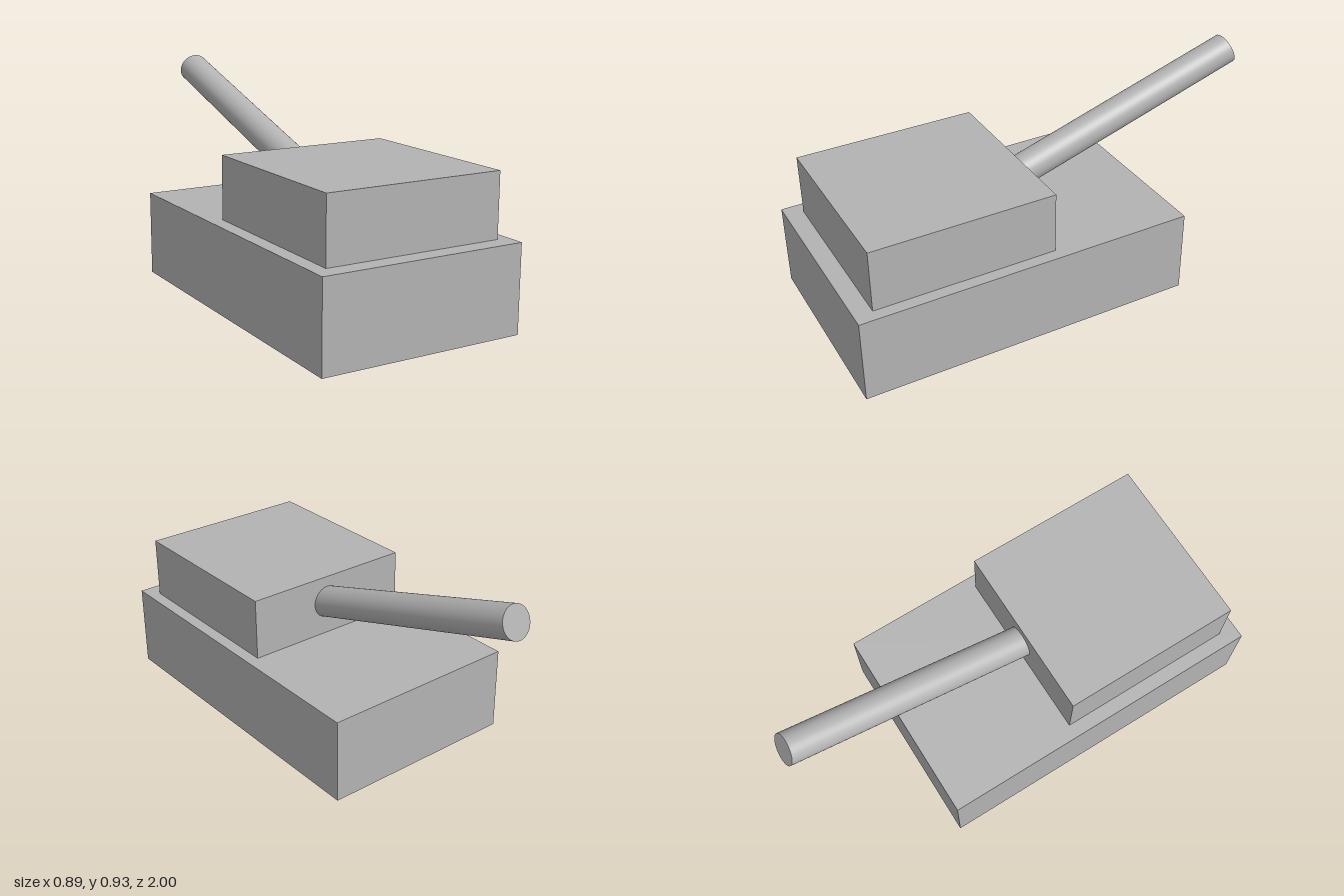
import * as THREE from 'three';

export function createModel() {
  const model = new THREE.Group();
  const grey = new THREE.MeshStandardMaterial({ color: 0xb3b3b3 });
  grey.name = 'plain grey';

  // Box given by its minimum and maximum corners
  function block(name, min, max) {
    const size = max.map((v, i) => v - min[i]);
    const mesh = new THREE.Mesh(new THREE.BoxGeometry(...size), grey);
    mesh.position.set(...max.map((v, i) => (v + min[i]) / 2));
    mesh.name = name;
    model.add(mesh);
  }

  block('hull', [-0.445, 0, -0.486], [0.445, 0.371, 1]);
  block('turret', [-0.383, 0.371, 0.12], [0.392, 0.642, 0.922]);

  // Raised barrel, rooted inside the turret
  const base = new THREE.Vector3(0.012, 0.507, 0.17);
  const tip = new THREE.Vector3(0.012, 0.866, -0.974);
  const axis = tip.clone().sub(base);
  const tube = new THREE.CylinderGeometry(0.069, 0.069, axis.length(), 64);

  // Slightly slanted end faces
  const p = tube.attributes.position;
  for (let i = 0; i < p.count; i++) p.setY(i, p.getY(i) - 0.065 * p.getZ(i));

  const barrel = new THREE.Mesh(tube, grey);
  barrel.name = 'barrel';
  barrel.position.copy(base).add(tip).multiplyScalar(0.5);
  barrel.position.x = 0.012;
  barrel.rotation.x = Math.atan2(axis.z, axis.y);
  model.add(barrel);

  return model;
}
